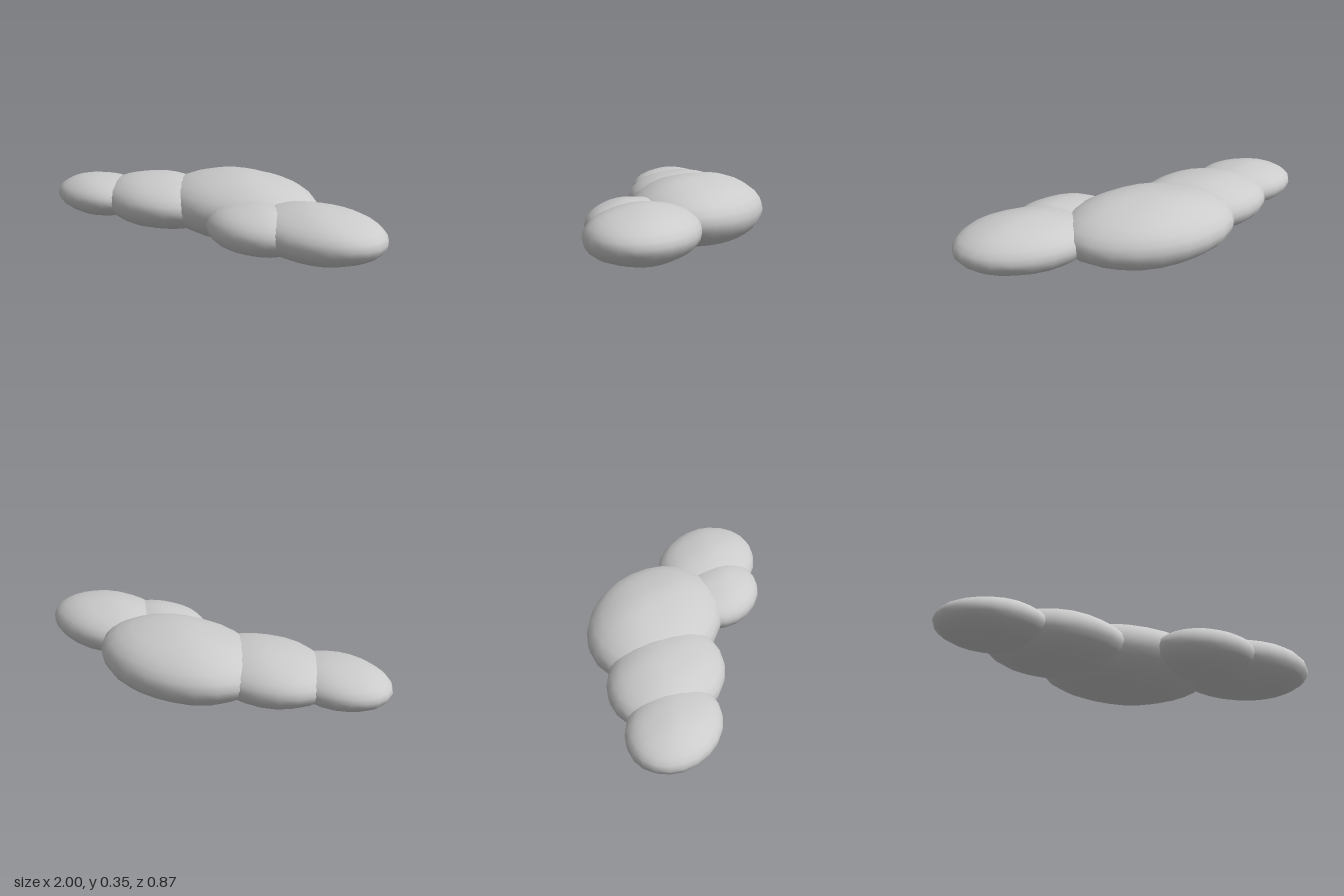
import * as THREE from 'three';
import { mergeVertices } from 'three/addons/utils/BufferGeometryUtils.js';

// Puffs: name, centre, radii
const PUFFS = [
  ['mainPuff', [0.02, 0.18, -0.104], [0.47, 0.175, 0.338]],
  ['rightPuff', [-0.38, 0.17, 0.08], [0.37, 0.14, 0.28]],
  ['rightEndPuff', [-0.71, 0.167, 0.218], [0.29, 0.108, 0.218]],
  ['leftEndPuff', [0.63, 0.173, 0.007], [0.37, 0.132, 0.265]],
  ['leftFrontPuff', [0.38, 0.168, 0.14], [0.285, 0.118, 0.215]],
];

// A squashed sphere with faint dimples, welded so shading stays smooth across the seam
function puffGeometry(radii, seed) {
  let geo = new THREE.SphereGeometry(1, 22, 14);
  geo.deleteAttribute('uv');
  geo.deleteAttribute('normal');
  geo = mergeVertices(geo, 1e-4);
  const pos = geo.attributes.position;
  const v = new THREE.Vector3();
  for (let i = 0; i < pos.count; i++) {
    v.fromBufferAttribute(pos, i);
    const wave = Math.sin(5 * v.x + seed) * Math.sin(6 * v.z + 2 * seed);
    // Dimples fade out at the equator, where the outline is cleanest
    v.multiplyScalar(1 + 0.02 * wave * Math.abs(v.y));
    pos.setXYZ(i, v.x * radii[0], v.y * radii[1], v.z * radii[2]);
  }
  geo.computeVertexNormals();
  return geo;
}

export function createModel() {
  const cloud = new THREE.Group();
  cloud.name = 'cloud';
  const material = new THREE.MeshStandardMaterial({ color: 0xcccccc });
  PUFFS.forEach(([name, centre, radii], i) => {
    const puff = new THREE.Mesh(puffGeometry(radii, i * 1.7), material);
    puff.name = name;
    puff.position.set(...centre);
    cloud.add(puff);
  });
  return cloud;
}
